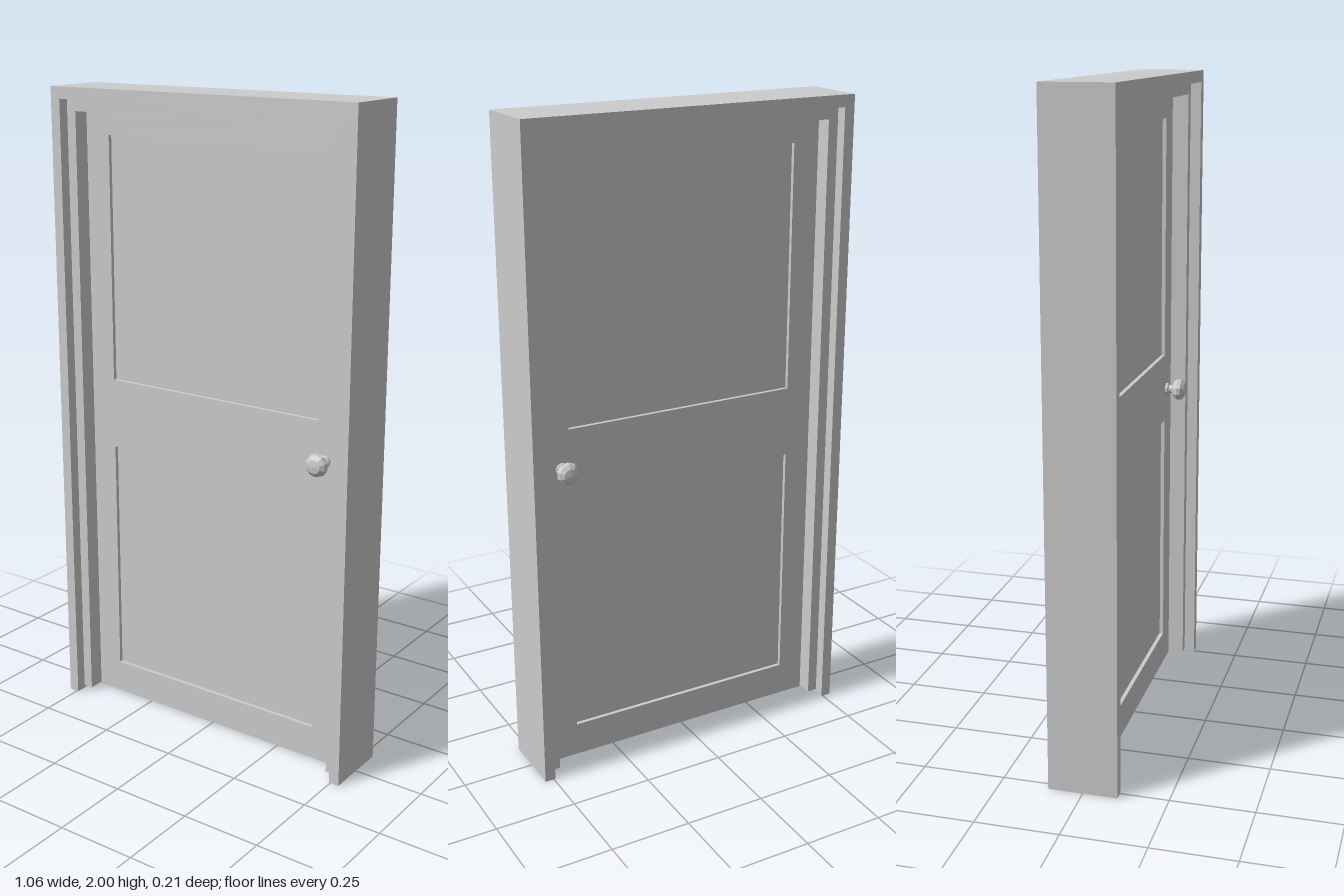
import * as THREE from 'three';

const material = new THREE.MeshStandardMaterial({ color: 0xcccccc });
const knobMaterial = new THREE.MeshStandardMaterial({ color: 0xcccccc, flatShading: true });

// Extrude a shape so that it is centred on z = 0
function slab(name, shape, depth) {
  const geometry = new THREE.ExtrudeGeometry(shape, { depth, bevelEnabled: false });
  geometry.translate(0, 0, -depth / 2);
  const mesh = new THREE.Mesh(geometry, material);
  mesh.name = name;
  return mesh;
}

const polygon = (points) => points.map(([x, y]) => new THREE.Vector2(x, y));

const rectangle = (halfWidth, bottom, top) => polygon([
  [-halfWidth, bottom], [halfWidth, bottom], [halfWidth, top], [-halfWidth, top],
]);

// Upside-down U: two posts and a head, open at the floor
function arch(outerX, innerX, bottom, innerTop, top) {
  return new THREE.Shape(polygon([
    [-outerX, bottom], [-innerX, bottom], [-innerX, innerTop], [innerX, innerTop],
    [innerX, bottom], [outerX, bottom], [outerX, top], [-outerX, top],
  ]));
}

export function createModel() {
  const model = new THREE.Group();
  model.name = 'door';

  // Outer frame and the shallower stop inside it
  model.add(slab('frame', arch(0.528, 0.495, 0, 1.964, 2), 0.208));
  model.add(slab('doorStop', arch(0.495, 0.463, 0.01, 1.927, 1.964), 0.14));

  // Door leaf with two openings, each filled by a recessed panel
  const leaf = new THREE.Shape(rectangle(0.463, 0.005, 1.927));
  const panels = [[0.111, 0.874], [1.096, 1.858]];
  for (const [bottom, top] of panels) {
    leaf.holes.push(new THREE.Path(rectangle(0.378, bottom, top)));
    model.add(slab('panel', new THREE.Shape(rectangle(0.378, bottom, top)), 0.014));
  }
  model.add(slab('doorLeaf', leaf, 0.038));

  // Faceted knob on each side
  const profile = polygon([
    [0.02, 0], [0.02, 0.008], [0.014, 0.012], [0.014, 0.022],
    [0.028, 0.029], [0.035, 0.041], [0.033, 0.053], [0.021, 0.063], [0, 0.066],
  ]);
  const knobGeometry = new THREE.LatheGeometry(profile, 10);
  for (const side of [1, -1]) {
    const knob = new THREE.Mesh(knobGeometry, knobMaterial);
    knob.name = side > 0 ? 'frontKnob' : 'backKnob';
    knob.rotation.x = side * Math.PI / 2;
    knob.position.set(0.402, 0.977, side * 0.018);
    model.add(knob);
  }

  return model;
}
